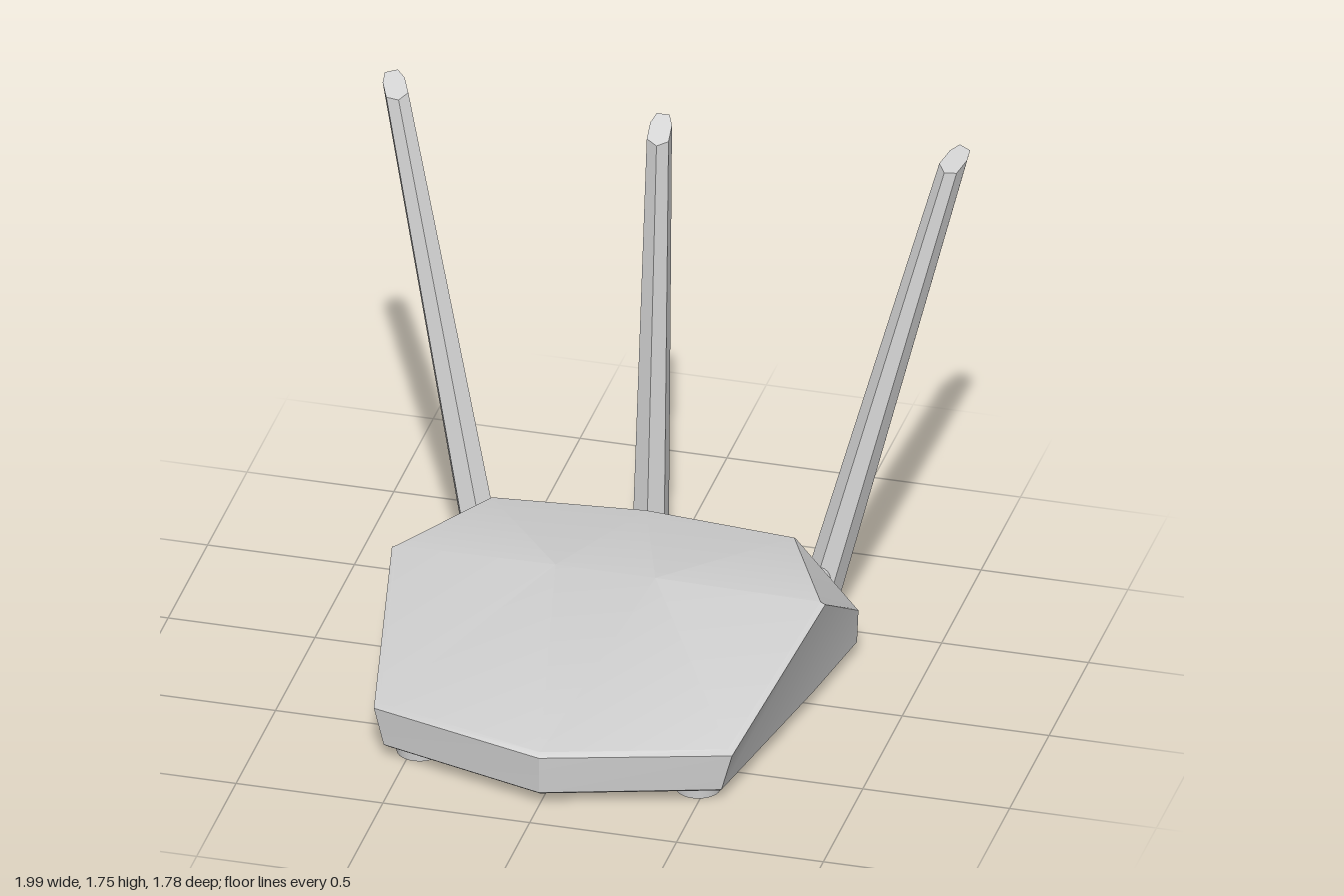
import * as THREE from 'three';
import { toCreasedNormals } from 'three/addons/utils/BufferGeometryUtils.js';

const material = new THREE.MeshStandardMaterial({ color: 0xcccccc });

// Skin a stack of rings (each counter-clockwise from above), capped at both ends
function loft(rings, crease, extraPoints = [], topFaces = null) {
  const n = rings[0].length;
  const index = [];
  for (let r = 0; r < rings.length - 1; r++) {
    for (let i = 0; i < n; i++) {
      const a = r * n + i, b = r * n + (i + 1) % n;
      index.push(a, b, b + n, a, b + n, a + n);
    }
  }
  const top = (rings.length - 1) * n;
  for (let i = 1; i < n - 1; i++) {
    index.push(0, i + 1, i);
    if (!topFaces) index.push(top, top + i, top + i + 1);
  }
  if (topFaces) topFaces.forEach((f) => index.push(...f.map((i) => top + i)));
  const geometry = new THREE.BufferGeometry();
  const points = [...rings.flat(), ...extraPoints].flat();
  geometry.setAttribute('position', new THREE.Float32BufferAttribute(points, 3));
  geometry.setIndex(index);
  return toCreasedNormals(geometry, crease);
}

function addMesh(parent, name, geometry) {
  const mesh = new THREE.Mesh(geometry, material);
  mesh.name = name;
  parent.add(mesh);
  return mesh;
}

// Half outline from front centre round the left side to rear centre, mirrored
function mirrorRing(half) {
  const other = half.slice(1, -1).reverse().map(([x, y, z]) => [-x, y, z]);
  return [...half, ...other];
}

function createBody() {
  const bottom = [[0, 0.05, 0.885], [0.575, 0.05, 0.71], [0.7, 0.05, 0],
    [0.752, 0.05, -0.35], [0.51, 0.05, -0.425], [0, 0.05, -0.455]];
  const base = bottom.map(([x, , z]) => [x * 0.985, 0.04, z * 0.985]);
  const rim = [[0, 0.18, 0.885], [0.61, 0.18, 0.705], [0.738, 0.383, 0],
    [0.757, 0.17, -0.35], [0.52, 0.357, -0.44], [0, 0.362, -0.48]];
  const lip = [[0, 0.194, 0.868], [0.592, 0.194, 0.69], [0.722, 0.391, 0],
    [0.752, 0.177, -0.347], [0.515, 0.362, -0.437], [0, 0.367, -0.477]];
  // Top panels meet at a short raised ridge (points 10 and 11)
  const ridge = [[0.17, 0.422, 0.04], [-0.17, 0.422, 0.04]];
  const faces = [[0, 1, 10], [1, 2, 10], [2, 3, 4], [2, 4, 10], [4, 5, 10], [0, 10, 11],
    [5, 11, 10], [5, 6, 11], [6, 8, 11], [6, 7, 8], [8, 9, 11], [9, 0, 11]];
  return loft([base, bottom, rim, lip].map(mirrorRing), 0.4, ridge, faces);
}

// Tapered seven-sided blade with a slanted tip, local front is +z
function createAntennaGeometry(length) {
  const section = [[0, 0.04], [0.037, 0.026], [0.037, -0.015], [0.022, -0.04],
    [-0.022, -0.04], [-0.037, -0.015], [-0.037, 0.026]];
  const ring = (y, scale, slant) =>
    section.map(([x, z]) => [x * scale, y - z * slant, z * scale]);
  return loft([ring(0, 1.3, -0.1), ring(0.02, 1.5, -0.1), ring(length, 1, 1)], 0.1);
}

// Stand an antenna between two points, turned outward by yaw
function addAntenna(parent, name, from, to, yaw) {
  const start = new THREE.Vector3(...from);
  const up = new THREE.Vector3(...to).sub(start);
  const mesh = addMesh(parent, name, createAntennaGeometry(up.length()));
  up.normalize();
  const front = new THREE.Vector3(-Math.sin(yaw), 0, Math.cos(yaw));
  const side = new THREE.Vector3().crossVectors(up, front).normalize();
  front.crossVectors(side, up);
  mesh.quaternion.setFromRotationMatrix(new THREE.Matrix4().makeBasis(side, up, front));
  mesh.position.copy(start);
}

// Short neck that flares where it meets the antenna
function addHinge(parent, name, x) {
  const profile = [[0, 0], [0.024, 0], [0.024, 0.1], [0.038, 0.13], [0.038, 0.16], [0, 0.16]];
  const geometry = new THREE.LatheGeometry(profile.map((p) => new THREE.Vector2(...p)), 16);
  const mesh = addMesh(parent, name, toCreasedNormals(geometry, 0.5));
  mesh.position.set(x, 0.195, -0.38);
  mesh.rotation.x = -Math.PI / 2 - 0.15;
}

export function createModel() {
  const model = new THREE.Group();
  model.name = 'router';
  addMesh(model, 'body', createBody());

  // Antennas and their hinges
  addAntenna(model, 'centreAntenna', [0, 0.085, -0.53], [0, 1.713, -0.65], 0);
  addHinge(model, 'centreHinge', 0);
  for (const [side, s] of [['left', 1], ['right', -1]]) {
    addAntenna(model, side + 'Antenna', [s * 0.575, 0.085, -0.555],
      [s * 0.953, 1.635, -0.84], s * 0.42);
    addHinge(model, side + 'Hinge', s * 0.58);
  }

  // Round feet, closer together at the front
  const foot = new THREE.CylinderGeometry(0.075, 0.075, 0.045, 32);
  for (const [name, x, z] of [['front', 0.475, 0.63], ['rear', 0.62, -0.235]]) {
    for (const s of [1, -1]) {
      const side = s > 0 ? 'Left' : 'Right';
      addMesh(model, name + side + 'Foot', foot).position.set(s * x, 0.0225, z);
    }
  }
  return model;
}
